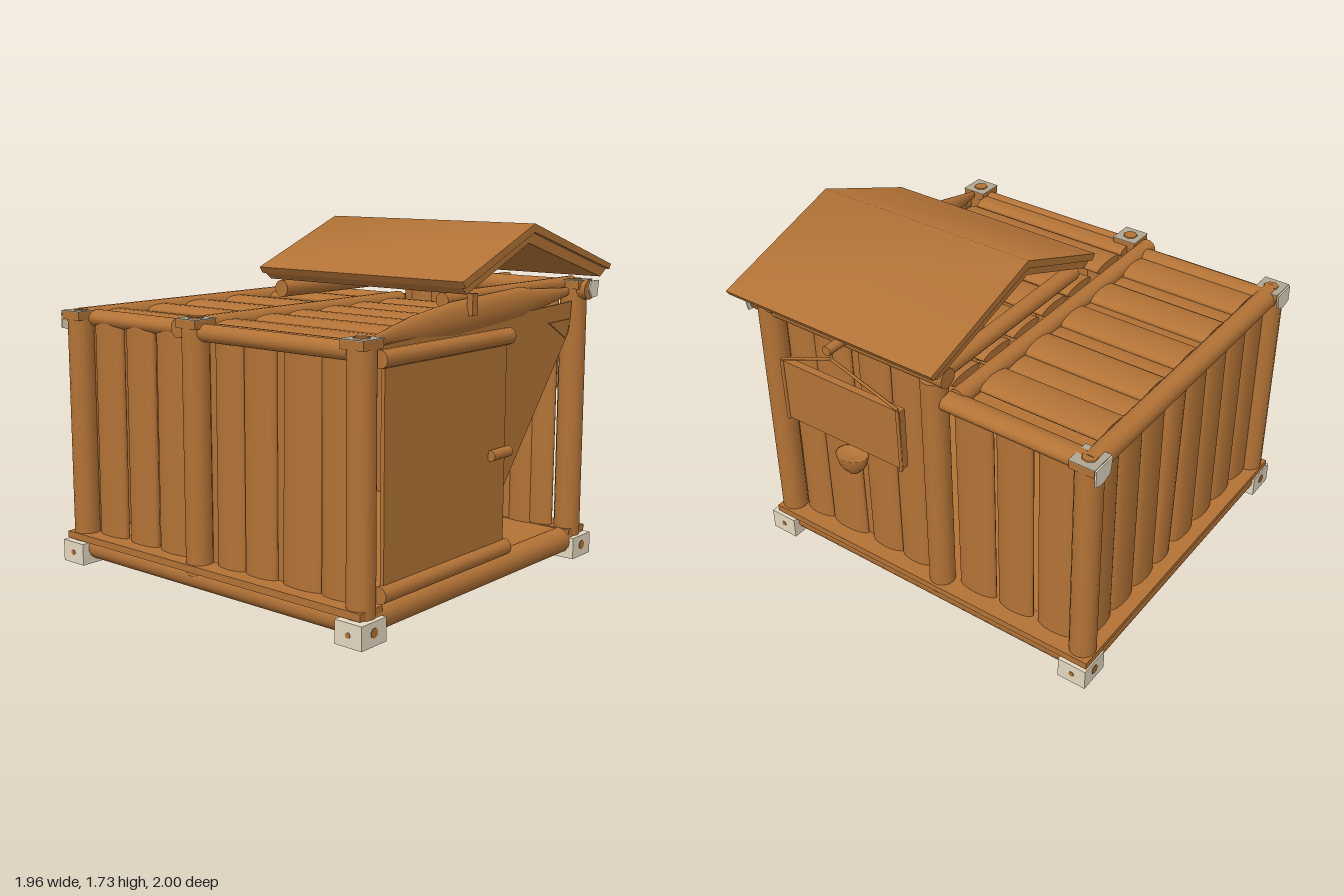
import * as THREE from 'three';
import { toCreasedNormals } from 'three/addons/utils/BufferGeometryUtils.js';

const wood = new THREE.MeshStandardMaterial({ color: 0xb37336 });
wood.name = 'brown wood';
const cream = new THREE.MeshStandardMaterial({ color: 0xe4d8c0 });
cream.name = 'pale cap';
const grey = new THREE.MeshStandardMaterial({ color: 0xb0a692 });
grey.name = 'grey cap top';

export function createModel() {
  const hut = new THREE.Group();
  hut.name = 'logHut';
  const UP = new THREE.Vector3(0, 1, 0);

  function add(name, geo, mat = wood, x = 0, y = 0, z = 0) {
    const m = new THREE.Mesh(geo, mat);
    m.name = name;
    m.position.set(x, y, z);
    hut.add(m);
    return m;
  }
  const box = (name, x0, x1, y0, y1, z0, z1, mat = wood) =>
    add(name, new THREE.BoxGeometry(x1 - x0, y1 - y0, z1 - z0), mat, (x0 + x1) / 2, (y0 + y1) / 2, (z0 + z1) / 2);

  // Round log between two points
  function log(name, a, b, r, sides = 14) {
    const p = new THREE.Vector3(...a), q = new THREE.Vector3(...b);
    const d = q.clone().sub(p);
    const m = add(name, new THREE.CylinderGeometry(r, r, d.length(), sides));
    m.position.copy(p).add(q).multiplyScalar(0.5);
    m.quaternion.setFromUnitVectors(UP, d.normalize());
    return m;
  }
  // Flattened upright log between two heights, with its two half widths
  function plank(name, y0, y1, hx, hz, x, z) {
    const g = new THREE.CylinderGeometry(1, 1, y1 - y0, 16);
    g.scale(hx, 1, hz);
    return add(name, g, wood, x, (y0 + y1) / 2, z);
  }
  // The same plank laid flat along z
  function flatPlank(name, hx, hy, x, y, z0, z1) {
    const p = plank(name, z0, z1, hx, hy, x, 0);
    p.position.set(x, y, (z0 + z1) / 2);
    p.rotation.x = Math.PI / 2;
  }
  // Flat outline in the xy plane, extruded along z, soft over shallow folds
  function slab(name, points, depth, z, mat = wood) {
    const s = new THREE.Shape(points.map(p => new THREE.Vector2(...p)));
    const g = new THREE.ExtrudeGeometry(s, { depth, bevelEnabled: false });
    return add(name, toCreasedNormals(g, 0.8), mat, 0, 0, z);
  }

  const L = -0.885, R = 0.79, F = 0.885, M = -0.1, B = -0.925;

  // Floor and bottom frame
  box('floor', -0.9, 0.82, 0.12, 0.15, -0.94, 0.9);
  for (const z of [F, B]) log('baseLog', [L, 0.092, z], [R, 0.092, z], 0.064);
  box('backSill', L, R, 0.13, 0.155, -0.995, -0.87);
  for (const x of [L, R]) {
    log('baseLog', [x, 0.085, B], [x, 0.085, F], 0.06);
    box('sideSill', x - 0.072, x + 0.078, 0.12, 0.155, -0.995, 0.94);
  }
  log('middleBaseLog', [L, 0.088, M], [R, 0.088, M], 0.055);

  // Posts with foot caps and top plates
  const posts = [[L, F, 1.305], [R, F, 1.43], [L, M, 1.31], [R, M, 1.36], [L, B, 1.285], [R, B, 1.285]];
  for (const [x, z, top] of posts) {
    log('post', [x, 0.1, z], [x, top, z], 0.066);
    if (z !== M) {
      const cx = x < 0 ? -0.9 : 0.8, cz = z > 0 ? 0.895 : -0.925, s = Math.sign(z), t = Math.sign(x);
      box('footCap', cx - 0.083, cx + 0.083, 0.005, 0.115, cz - 0.075, cz + 0.075, cream);
      const end = add('logEnd', new THREE.CylinderGeometry(0.024, 0.024, 0.006, 7), wood, cx, 0.065, cz + s * 0.075);
      end.rotation.x = Math.PI / 2;
      const side = add('logEnd', new THREE.CylinderGeometry(0.014, 0.014, 0.006, 7), wood, cx + t * 0.083, 0.06, cz);
      side.rotation.z = Math.PI / 2;
    }
    if (z === M && x > 0) continue;
    box('topCap', x - 0.066, x + 0.066, top - 0.04, top, z - 0.064, z + 0.064);
    box('topCapPlate', x - 0.068, x + 0.068, top, top + 0.004, z - 0.066, z + 0.066, grey);
    add('postTip', new THREE.CylinderGeometry(0.036, 0.04, 0.008, 7), wood, x, top + 0.005, z);
    // Pale patches on the back corners
    if (z === B) {
      slab('capPatch', [[-0.065, 0], [-0.065, -0.085], [-0.01, -0.1], [0.05, -0.08], [0.065, 0]]
        .map(([px, py]) => [x + px * Math.sign(-x), top + py])
        .sort((a, b) => Math.atan2(a[1] - top + 0.05, a[0] - x) - Math.atan2(b[1] - top + 0.05, b[0] - x)), 0.008, z - 0.074, cream);
    }
  }
  slab('frontCapPatch', [[0.79, 1.43], [0.77, 1.39], [0.8, 1.345], [0.85, 1.35], [0.865, 1.43]], 0.008, 0.977, cream);

  // Side wall planks as [z, half width], front bay then back bay
  const sidePlanks = [[0.73, 0.09], [0.53, 0.115], [0.275, 0.098], [0.087, 0.09], [-0.295, 0.108], [-0.52, 0.1], [-0.75, 0.102]];
  for (const x of [L + 0.035, R - 0.035]) {
    const frontTop = x > 0 ? 1.34 : 1.25;
    sidePlanks.forEach(([z, half], i) => {
      const p = plank('sidePlank', 0.15, z > 0 ? frontTop : 1.24, 0.035, half, x, z);
      p.rotation.x = i === 1 ? 0.012 : 0.004;
    });
    // Narrow planks closing the gaps from inside
    for (const z of [0.64, 0.39, 0.18, -0.02]) plank('innerPlank', 0.15, frontTop - 0.02, 0.02, 0.07, x - Math.sign(x) * 0.025, z);
    log('sideRail', [x + 0.02, 1.25, -0.16], [x + 0.02, 1.25, B], 0.042).scale.x = 1.45;
  }
  log('leftFrontRail', [L, 1.25, M], [L, 1.25, F], 0.042);

  // Back wall planks, one of them leaning
  for (let i = 0; i < 8; i++) {
    const p = plank('backPlank', 0.15, 1.24, i === 4 ? 0.078 : 0.1, 0.035, -0.78 + i * 0.199, -0.895);
    if (i === 4) p.rotation.z = 0.04;
  }
  log('backRail', [L, 1.245, B], [R, 1.245, B], 0.055);
  log('middleRail', [-0.91, 1.26, -0.195], [0.75, 1.26, -0.195], 0.046);

  // Flat ceiling planks, back bay and front bay
  [-0.69, -0.385, -0.12, 0.18, 0.535].forEach((x, i) => {
    flatPlank('backCeilingPlank', 0.105, 0.028, x, 1.255, -0.88, -0.22);
    if (i < 4) flatPlank('backCeilingPlank', 0.08, 0.022, x + 0.16, 1.235, -0.88, -0.22);
  });
  for (const x of [-0.82, -0.64, -0.365, -0.14, 0.1, 0.34, 0.58]) {
    flatPlank('frontCeilingPlank', x < -0.8 ? 0.06 : 0.108, 0.025, x, 1.26, -0.12, 0.82);
  }

  // Beams that carry the roof
  log('rightRoofBeam', [R, 1.385, -0.18], [R, 1.385, 0.975], 0.05);
  log('backRoofBeam', [-0.27, 1.4, -0.135], [0.78, 1.4, -0.135], 0.042);
  log('frontRoofBeam', [-0.27, 1.41, 0.84], [0.84, 1.41, 0.84], 0.035);
  box('beamPeg', -0.19, -0.15, 1.34, 1.44, 0.92, 0.95);
  // Tapered lintel log above the doorway
  const profile = [[0, 0], [0.02, 0.01], [0.065, 0.28], [0.085, 0.56], [0.08, 1.1], [0.05, 1.28], [0.02, 1.55], [0, 1.56]]
    .map(p => new THREE.Vector2(...p));
  const lintelGeo = new THREE.LatheGeometry(profile, 16);
  lintelGeo.scale(1, 1, 0.55);
  const lintel = add('lintelLog', lintelGeo, wood, -0.82, 1.29, 0.885);
  lintel.rotation.z = -Math.PI / 2 + 0.055;

  // Two-layer gable roof
  slab('roofOuter', [[-0.33, 1.505], [0.24, 1.735], [0.96, 1.505], [0.945, 1.48], [0.24, 1.695], [-0.31, 1.475]], 1.22, -0.225);
  slab('roofInner', [[-0.31, 1.475], [0.24, 1.695], [0.945, 1.48], [0.89, 1.445], [0.22, 1.645], [-0.27, 1.445]], 1.18, -0.205);

  // Door with its rails and handle
  box('door', -0.82, 0.085, 0.2, 1.23, 0.935, 0.955);
  for (const y of [0.21, 1.222]) log('doorRail', [-0.845, y, 0.95], [0.11, y, 0.95], 0.04);
  log('doorHandle', [-0.05, 0.68, 0.967], [0.1, 0.68, 0.967], 0.026);

  // Draped sheet across the doorway
  slab('doorwaySheet', [[-0.8, 1.27], [-0.75, 1.18], [0.06, 1.15], [0.08, 0.42], [0.7, 1.18], [0.72, 1.33]], 0.012, 0.905);
  slab('sheetFold', [[0.5, 1.24], [0.7, 1.245], [0.66, 1.15]], 0.008, 0.918);
  log('innerRail', [0.1, 0.21, -0.8], [0.66, 0.21, -0.8], 0.05);

  // Hanging sign: peg, board and ropes
  log('signPeg', [0.8, 1.405, 0.38], [0.96, 1.405, 0.38], 0.025);
  box('signBoard', 0.872, 0.91, 0.86, 1.19, 0.01, 0.73);
  for (const z of [0.02, 0.725]) {
    log('signRope', [0.935, 1.35, 0.38], [0.91, 1.2, z], 0.008, 6);
    log('signRope', [0.915, 1.2, z], [0.91, 0.85, z], 0.009, 6);
  }
  log('signLoop', [0.935, 1.345, 0.38], [0.93, 1.4, 0.38], 0.008, 6);

  // Wall bowl under the sign
  const bowlShape = [[0, 0], [0.03, 0.01], [0.07, 0.055], [0.088, 0.115], [0.075, 0.115], [0, 0.1]].map(p => new THREE.Vector2(...p));
  const bowlGeo = new THREE.LatheGeometry(bowlShape, 14);
  bowlGeo.scale(0.8, 1, 1);
  add('bowl', bowlGeo, wood, 0.905, 0.69, 0.33);
  log('bowlBracket', [0.75, 0.76, 0.33], [0.88, 0.76, 0.33], 0.02);

  return hut;
}
